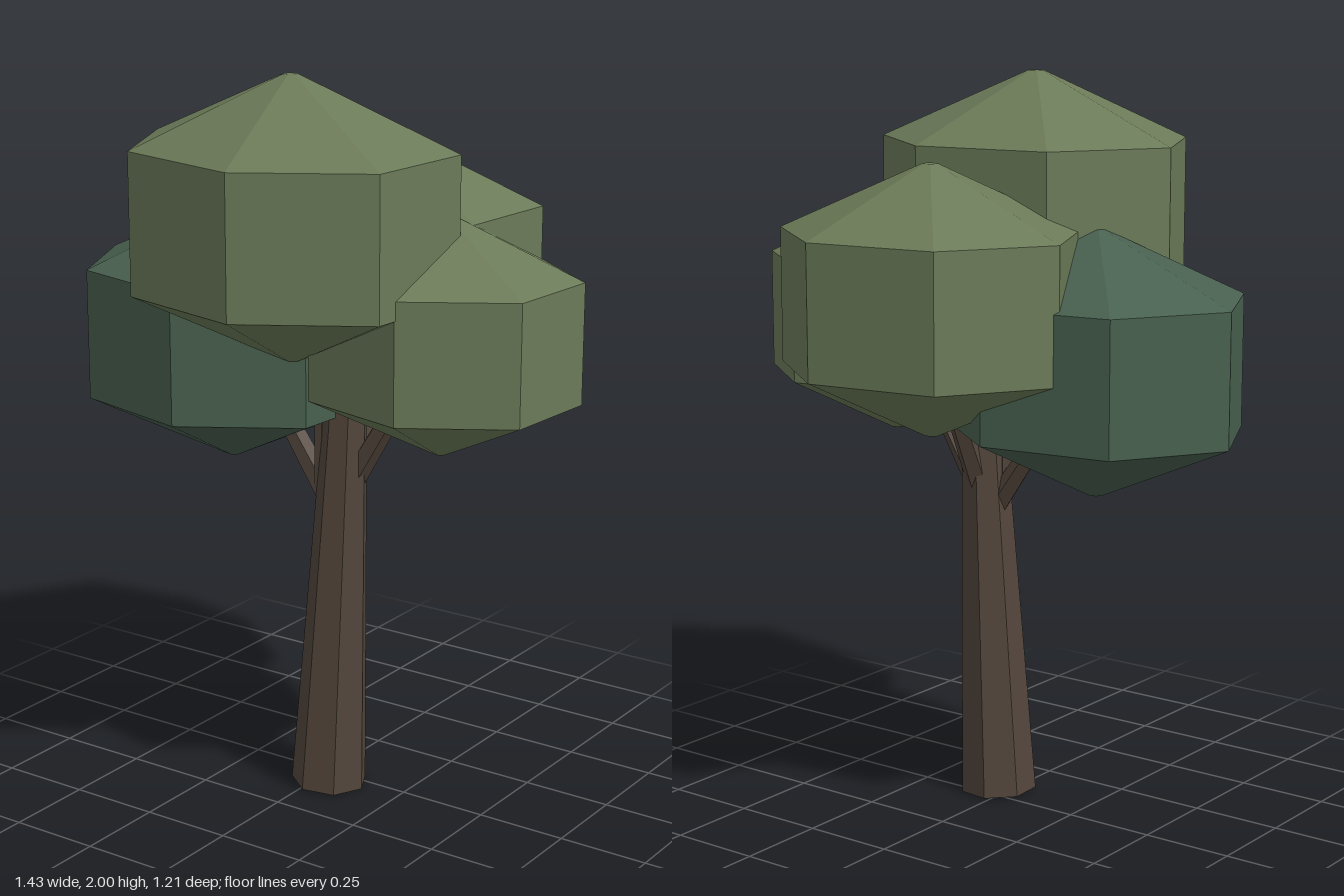
import * as THREE from 'three';

const rad = THREE.MathUtils.degToRad;
const paint = (color) => new THREE.MeshStandardMaterial({ color, flatShading: true });

export function createModel() {
  const tree = new THREE.Group();
  tree.name = 'tree';
  const green = paint(0x6b7a58);
  const teal = paint(0x48604f);
  const bark = paint(0x52453b);

  // Seven-sided crown: a straight band between two shallow cones
  const profile = [[0, -1], [0.05, -1], [1, -0.503], [1, 0.503], [0.05, 1], [0, 1]]
    .map(([r, y]) => new THREE.Vector2(r, y));
  const crownGeometry = new THREE.LatheGeometry(profile, 7, rad(61.2));
  const crowns = [
    ['topCrown', green, [0.034, 1.628, 0.22], [0.45, 0.372, 0.386]],
    ['backCrown', green, [0.03, 1.427, -0.25], [0.425, 0.357, 0.369]],
    ['leftCrown', green, [0.366, 1.329, 0.02], [0.376, 0.32, 0.327]],
    ['rightCrown', teal, [-0.295, 1.255, 0.04], [0.423, 0.355, 0.369]],
  ];
  for (const [name, material, position, scale] of crowns) {
    const crown = new THREE.Mesh(crownGeometry, material);
    crown.name = name;
    crown.position.set(...position);
    crown.scale.set(...scale);
    tree.add(crown);
  }

  // Tapered limb running between two points
  const limb = (name, from, to, r0, r1, sides) => {
    const a = new THREE.Vector3(...from);
    const b = new THREE.Vector3(...to);
    const axis = b.clone().sub(a);
    const geometry = new THREE.CylinderGeometry(r1, r0, axis.length(), sides, 1, false, rad(40.6));
    const mesh = new THREE.Mesh(geometry, bark);
    mesh.name = name;
    mesh.position.copy(a).add(b).multiplyScalar(0.5);
    mesh.quaternion.setFromUnitVectors(new THREE.Vector3(0, 1, 0), axis.normalize());
    tree.add(mesh);
  };

  limb('trunk', [0.036, 0.004, 0.052], [0.088, 1.32, 0.035], 0.106, 0.05, 7);

  // Branches reaching into the crowns
  limb('rightBranch', [0.04, 0.82, 0.045], [-0.16, 1.1, 0.04], 0.034, 0.026, 5);
  limb('rightTwig', [0.012, 0.85, 0.055], [0.012, 1.12, 0.06], 0.022, 0.017, 5);
  limb('leftBranch', [0.09, 0.88, 0.03], [0.28, 1.2, 0.02], 0.034, 0.026, 5);
  limb('backBranch', [0.075, 0.87, 0.02], [0.06, 1.22, -0.16], 0.034, 0.026, 5);

  return tree;
}
